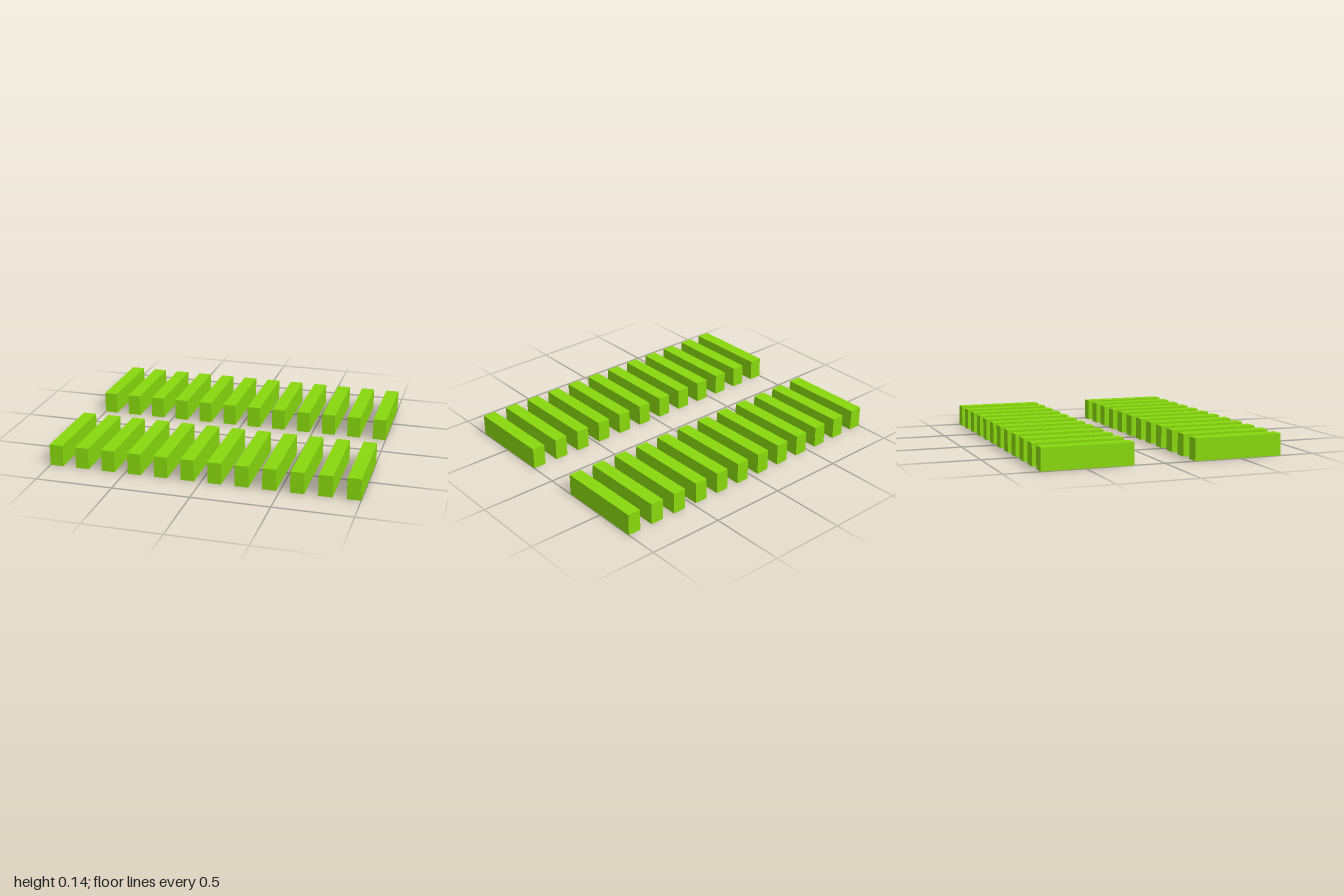
import * as THREE from 'three';

export function createModel() {
  const model = new THREE.Group();
  model.name = 'slatRows';

  const count = 12;
  const width = 2 / (2 * count - 1); // gaps are as wide as the bars
  const height = 0.14;
  const inner = 0.197, outer = 0.775;

  const material = new THREE.MeshStandardMaterial({ color: 0x88d80e });
  const barGeometry = new THREE.BoxGeometry(width, height, outer - inner);

  // Two mirrored rows of evenly spaced bars
  for (const side of [1, -1]) {
    const row = new THREE.Group();
    row.name = side > 0 ? 'frontRow' : 'backRow';
    row.position.set(0, height / 2, side * (inner + outer) / 2);
    for (let i = 0; i < count; i++) {
      const bar = new THREE.Mesh(barGeometry, material);
      bar.name = `bar${i + 1}`;
      bar.position.x = -1 + width * (2 * i + 0.5);
      row.add(bar);
    }
    model.add(row);
  }
  return model;
}
